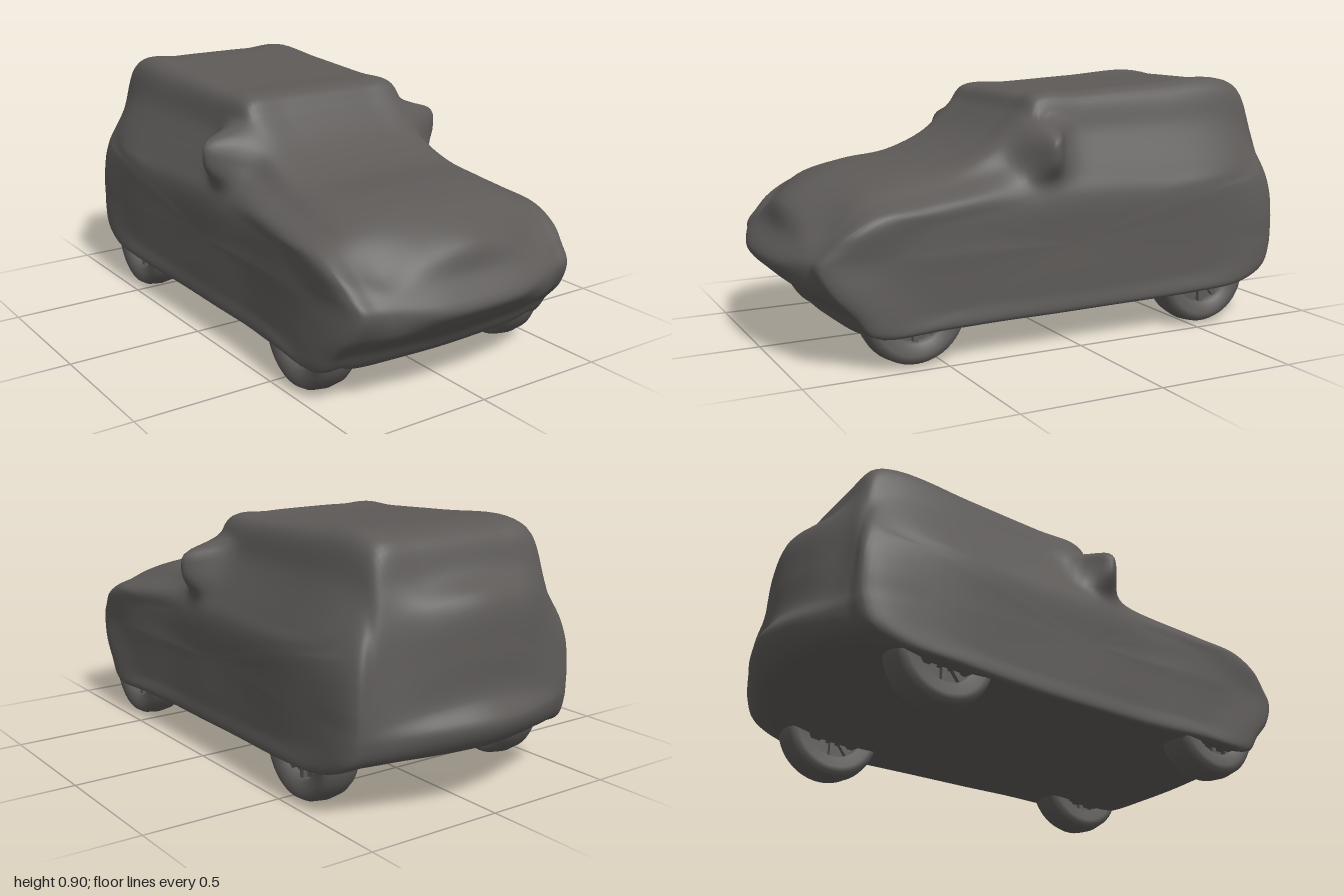
import * as THREE from 'three';

// Matching loops of points running over the bonnet, roof, tail and back underneath.
// Middle line of the cover: [z, y]
const MIDDLE = [
  [1, .33], [.94, .42], [.91, .51], [.76, .59], [.6, .62], [.4, .637], [.24, .705], [.13, .80], [.08, .862],
  [-.1, .872], [-.4, .886], [-.7, .893], [-.79, .865], [-.84, .76], [-.93, .69], [-.95, .53], [-.955, .38],
  [-1, .3], [-.94, .21], [-.8, .19], [-.5, .13], [0, .12], [.5, .105], [.77, .1], [.84, .18], [.95, .27],
];
// Seam line between the middle panel and the side panels: [z, y]
const SEAM = [
  [.95, .35], [.92, .40], [.86, .45], [.75, .55], [.58, .595], [.4, .622], [.24, .69], [.13, .79], [.08, .850],
  [-.1, .858], [-.4, .875], [-.69, .89], [-.785, .855], [-.83, .74], [-.86, .63], [-.88, .46], [-.895, .34],
  [-.91, .28], [-.88, .21], [-.77, .17], [-.5, .13], [0, .12], [.5, .11], [.76, .105], [.83, .19], [.93, .27],
];
// Shoulder line where the cover turns down the flanks: [z, y, x]
const SHOULDER = [
  [.91, .36, .44], [.87, .41, .45], [.82, .46, .46], [.72, .51, .462], [.55, .53, .458], [.36, .55, .455],
  [.22, .57, .445], [.12, .59, .44], [.04, .60, .437], [-.12, .60, .437], [-.4, .59, .44], [-.66, .59, .44],
  [-.76, .57, .435], [-.82, .55, .435], [-.85, .48, .445], [-.86, .39, .45], [-.86, .32, .45], [-.85, .27, .455],
  [-.82, .2, .46], [-.72, .15, .465], [-.5, .13, .466], [0, .12, .466], [.5, .115, .466], [.74, .12, .466],
  [.8, .19, .463], [.87, .27, .455],
];
const SEAM_X = .322;
const MIRROR_X = .512;
const bell = (d, width) => Math.exp(-(d * d) / (2 * width * width));
// Flat-topped bump
const plateau = (d, width) => Math.exp(-Math.pow(d / width, 4));

function coverGeometry() {
  const around = MIDDLE.length * 6, across = 96;
  const V = (x, y, z) => new THREE.Vector3(x, y, z);
  const middle = MIDDLE.map(([z, y]) => V(0, y, z));
  const seam = SEAM.map(([z, y]) => V(SEAM_X, y, z));
  const shoulder = SHOULDER.map(([z, y, x]) => V(x, y, z));
  // The nose and the covered spare wheel are narrower than the roof
  const inner = middle.map((p, i) => {
    const mix = p.z < -.82 ? .35 : p.z > .93 ? .2 : p.z > .7 ? .35 : .15;
    return p.clone().lerp(seam[i], mix).setX(.17);
  });
  // Cloth falls a little more steeply just below the roof edge
  const hang = seam.map((p, i) => {
    const steep = THREE.MathUtils.smoothstep(p.y, .62, .85);
    return p.clone().lerp(shoulder[i], .5).setX(THREE.MathUtils.lerp(SEAM_X, shoulder[i].x, .5 - .08 * steep));
  });
  const flankCentre = V(.469, .36, 0);
  const flank = shoulder.map(p => p.clone().lerp(flankCentre, .3).setX(.469));
  const rings = [middle, inner, seam, hang, shoulder, flank]
    .map(points => new THREE.CatmullRomCurve3(points, true, 'centripetal'));

  const position = [], index = [];
  for (let i = 0; i < around; i++) {
    const half = [...rings.map(r => r.getPoint(i / around)), flankCentre];
    const mirrored = half.slice(1).reverse().map(p => V(-p.x, p.y, p.z));
    const section = new THREE.CatmullRomCurve3([...mirrored, ...half], false, 'centripetal');
    for (let j = 0; j <= across; j++) {
      const p = section.getPoint(j / across);
      const side = Math.sign(p.x) * THREE.MathUtils.smoothstep(Math.abs(p.x), .31, .37);
      // Flanks drawn in beside the windscreen, fuller over the wheel arches
      p.x += side * (.017 * bell(p.z + .58, .2) + .008 * bell(p.z - .65, .15) - .006 * bell(p.z - .28, .1));
      // Door mirrors pushing the cloth out
      const rise = p.y - .71;
      const push = Math.abs(side) * bell(p.z - .1, .05) * plateau(rise, rise > 0 ? .06 : .125);
      p.x = THREE.MathUtils.lerp(p.x, Math.sign(p.x) * MIRROR_X, push);
      position.push(p.x, p.y, p.z);
    }
  }
  const row = across + 1;
  for (let i = 0; i < around; i++) {
    const next = (i + 1) % around;
    for (let j = 0; j < across; j++) {
      const a = i * row + j, b = a + 1, c = next * row + j, d = c + 1;
      if (j > 0) index.push(a, b, c);
      if (j < across - 1) index.push(b, d, c);
    }
  }
  const geometry = new THREE.BufferGeometry();
  geometry.setAttribute('position', new THREE.Float32BufferAttribute(position, 3));
  geometry.setIndex(index);
  geometry.computeVertexNormals();
  return geometry;
}

// Wheel with its axle along x; the outer face looks towards +x
function createWheel(material) {
  const wheel = new THREE.Group();
  const add = (geometry, name) => {
    const mesh = new THREE.Mesh(geometry, material);
    mesh.name = name;
    wheel.add(mesh);
  };
  const profile = [[.11, -.06], [.15, -.066], [.168, -.066], [.18, -.045], [.186, 0],
    [.18, .045], [.168, .066], [.15, .066], [.11, .06], [.105, .03], [.105, -.03], [.11, -.06]];
  const tyre = new THREE.LatheGeometry(profile.map(([r, h]) => new THREE.Vector2(r, h)), 48);
  add(tyre.rotateZ(-Math.PI / 2), 'tyre');
  add(new THREE.CylinderGeometry(.107, .107, .05, 32).rotateZ(Math.PI / 2), 'rim');
  add(new THREE.CylinderGeometry(.03, .03, .1, 20).rotateZ(Math.PI / 2), 'hub');
  for (let i = 0; i < 10; i++) {
    const spoke = new THREE.BoxGeometry(.085, .085, .018).translate(0, .065, 0);
    add(spoke.rotateX(i * Math.PI / 5), 'spoke');
  }
  return wheel;
}

export function createModel() {
  const model = new THREE.Group();
  model.name = 'coveredCar';
  const grey = new THREE.MeshStandardMaterial({ color: 0x5d5a58 });
  grey.name = 'dark grey';

  const cover = new THREE.Mesh(coverGeometry(), grey);
  cover.name = 'carCover';
  model.add(cover);

  for (const [end, z] of [['front', .595], ['rear', -.553]]) {
    for (const side of [1, -1]) {
      const wheel = createWheel(grey);
      wheel.name = end + (side > 0 ? 'Left' : 'Right') + 'Wheel';
      wheel.position.set(side * .401, .186, z);
      if (side < 0) wheel.rotation.y = Math.PI;
      model.add(wheel);
    }
  }
  return model;
}
